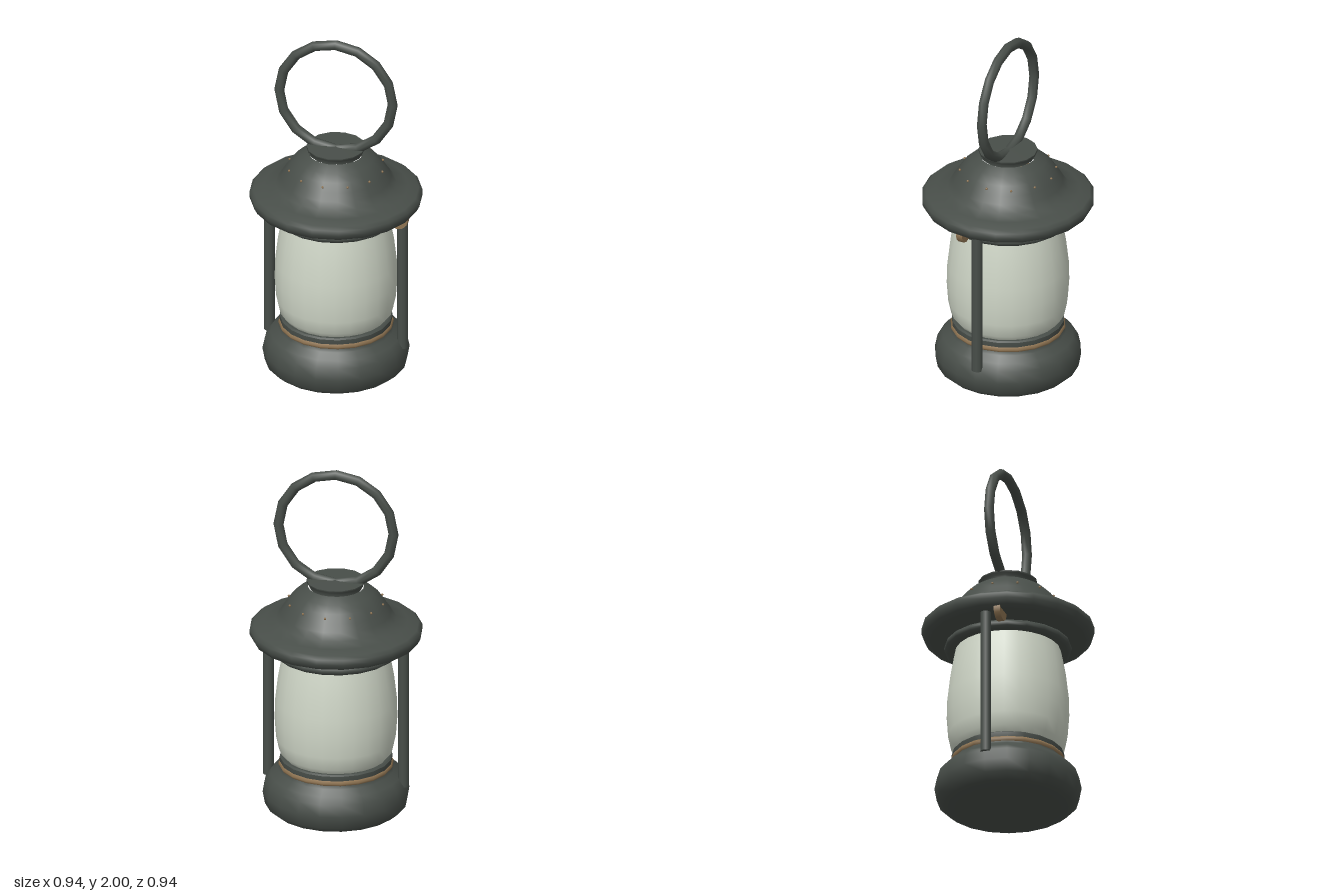
import * as THREE from 'three';

export function createModel() {
  const lantern = new THREE.Group();
  lantern.name = 'lantern';

  const material = (name, color) => {
    const m = new THREE.MeshStandardMaterial({ color });
    m.name = name;
    return m;
  };
  const iron = material('dark iron', 0x484e49);
  const glassMat = material('frosted glass', 0xcfd6c7);
  const brass = material('brass', 0x8f7452);

  const add = (name, geometry, mat, x = 0, y = 0, z = 0) => {
    const mesh = new THREE.Mesh(geometry, mat);
    mesh.name = name;
    mesh.position.set(x, y, z);
    lantern.add(mesh);
    return mesh;
  };
  // Profiles run from the bottom up; a repeated point makes a sharp edge
  const lathe = (points, sides) =>
    new THREE.LatheGeometry(points.map(([r, y]) => new THREE.Vector2(r, y)), sides);

  // Rounded base with a short neck that holds the glass
  add('base', lathe([
    [0, 0], [0.28, 0.005], [0.345, 0.02], [0.385, 0.055], [0.398, 0.125], [0.384, 0.19],
    [0.355, 0.225], [0.315, 0.255], [0.3, 0.28], [0.305, 0.3], [0.305, 0.325],
    [0.305, 0.325], [0.295, 0.332], [0.295, 0.332], [0, 0.332],
  ], 20), iron);

  const band = add('baseBand', new THREE.TorusGeometry(0.295, 0.018, 6, 20), brass, 0, 0.284, 0);
  band.rotation.x = Math.PI / 2;

  // Barrel-shaped glass
  add('glass', lathe([
    [0.275, 0.325], [0.308, 0.365], [0.324, 0.44], [0.332, 0.55],
    [0.329, 0.66], [0.314, 0.79], [0.298, 0.88], [0.284, 0.95],
  ], 24), glassMat);

  // Rounded rim closing the top of the glass
  add('glassRim', lathe([
    [0, 0.94], [0.28, 0.94], [0.28, 0.94], [0.325, 0.932], [0.342, 0.944], [0.346, 0.96],
    [0.34, 0.976], [0.32, 0.985], [0.29, 0.98], [0, 0.975],
  ], 20), iron);

  // Flared roof with a thick brim and a small collar on top
  add('roof', lathe([
    [0, 1.01], [0.425, 1.008], [0.425, 1.008], [0.452, 1.02], [0.468, 1.05], [0.468, 1.08],
    [0.448, 1.097], [0.39, 1.112], [0.328, 1.132], [0.3, 1.17], [0.275, 1.21],
    [0.243, 1.255], [0.205, 1.29], [0.152, 1.32],
  ], 20), iron);
  add('roofCollar', lathe([
    [0.145, 1.315], [0.147, 1.335], [0.16, 1.345], [0.16, 1.355],
    [0.16, 1.355], [0, 1.358],
  ], 14), iron);

  // Ring of tiny studs around the roof
  const stud = new THREE.SphereGeometry(0.007, 6, 4);
  for (let i = 0; i < 12; i++) {
    const a = (i / 12) * Math.PI * 2;
    add('roofStud', stud, brass, Math.sin(a) * 0.261, 1.235, Math.cos(a) * 0.261);
  }

  // Side posts, each with a round brass bracket under the brim
  const post = new THREE.CylinderGeometry(0.03, 0.03, 0.84, 10);
  const bracket = new THREE.CylinderGeometry(0.057, 0.057, 0.036, 12);
  bracket.rotateX(Math.PI / 2);
  for (const [side, s] of [['left', 1], ['right', -1]]) {
    add(side + 'Post', post, iron, s * 0.375, 0.6, 0);
    add(side + 'Bracket', bracket, brass, s * 0.375, 1.008, 0.082);
  }

  // Carrying ring
  const handle = add('handle', new THREE.TorusGeometry(0.319, 0.028, 8, 16), iron, 0, 1.653, 0);
  handle.rotation.z = Math.PI / 2;

  return lantern;
}
